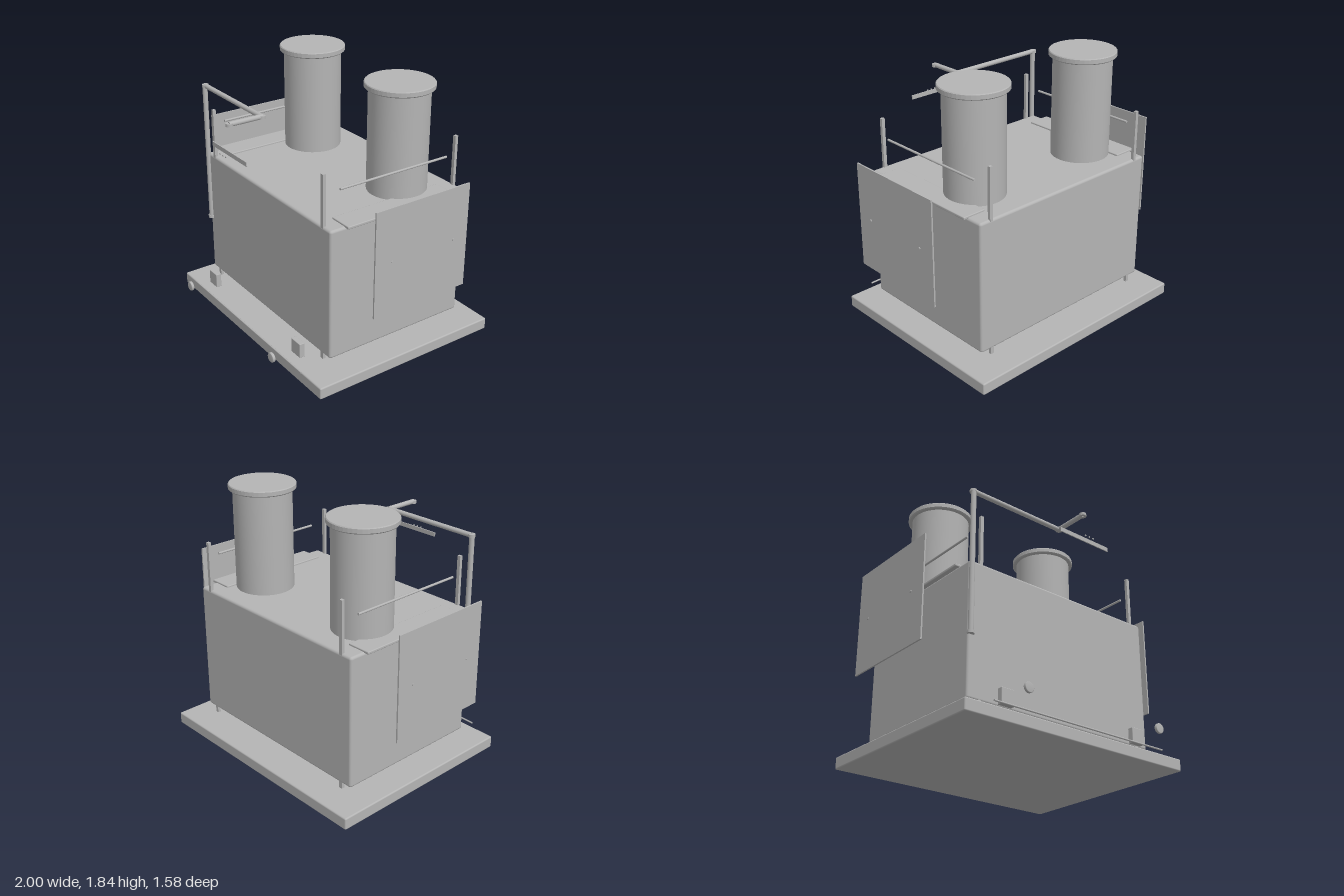
import * as THREE from 'three';
import { RoundedBoxGeometry } from 'three/addons/geometries/RoundedBoxGeometry.js';

export function createModel() {
  const model = new THREE.Group();
  const grey = new THREE.MeshStandardMaterial({ color: 0xb4b4b4 });
  grey.name = 'plain grey';

  const add = (name, geometry, x, y, z) => {
    const mesh = new THREE.Mesh(geometry, grey);
    mesh.name = name;
    mesh.position.set(x, y, z);
    model.add(mesh);
    return mesh;
  };
  // box given by its limits on each axis, rounded when r > 0
  const box = (name, [x0, x1], [y0, y1], [z0, z1], r = 0) => {
    const size = [x1 - x0, y1 - y0, z1 - z0];
    const geometry = r ? new RoundedBoxGeometry(...size, 3, r) : new THREE.BoxGeometry(...size);
    return add(name, geometry, (x0 + x1) / 2, (y0 + y1) / 2, (z0 + z1) / 2);
  };
  // cylinder along one axis, centred on the given point
  const rod = (name, axis, r, length, x, y, z, sides = 20) => {
    const geometry = new THREE.CylinderGeometry(r, r, length, sides);
    if (axis === 'x') geometry.rotateZ(Math.PI / 2);
    if (axis === 'z') geometry.rotateX(Math.PI / 2);
    return add(name, geometry, x, y, z);
  };
  // limits mirrored to the chosen side
  const side = (s, a, b) => (s > 0 ? [a, b] : [-b, -a]);

  // base and main housing
  box('base', [-0.895, 0.895], [0, 0.085], [-0.79, 0.637], 0.01);
  box('housing', [-0.757, 0.757], [0.16, 1.09], [-0.618, 0.466], 0.018);

  // lid profile with softened rims
  const lidProfile = [[0, 0], [0.224, 0], [0.231, 0.007], [0.231, 0.035], [0.226, 0.041], [0, 0.041]]
    .map(([r, y]) => new THREE.Vector2(r, y));

  for (const s of [1, -1]) {
    // tall drums with lids
    rod('drum', 'y', 0.203, 0.74, s * 0.487, 1.43, -0.265, 48);
    const lid = new THREE.LatheGeometry(lidProfile, 48).toNonIndexed();
    lid.computeVertexNormals();
    add('drumLid', lid, s * 0.487, 1.794, -0.265);

    // corner posts, through the housing
    for (const z of [-0.606, 0.454]) {
      box('cornerPost', side(s, 0.652, 0.676), [0.12, 1.44], [z - 0.011, z + 0.011]);
    }

    // side ledge and handrail
    box('sideLedge', side(s, 0.615, 0.785), [1.082, 1.102], [-0.502, 0.352], 0.006);
    rod('handrail', 'z', 0.008, 0.855, s * 0.697, 1.325, -0.075, 12);

    // side panel with two rivets
    box('sidePanel', side(s, 0.979, 0.99), [0.53, 1.265], [-0.445, 0.3]);
    for (const z of [-0.325, 0.175]) rod('rivet', 'x', 0.008, 0.006, s * 0.997, 0.9, z, 12);

    // front bracket and knob
    box('frontBracket', side(s, 0.495, 0.596), [0.13, 0.235], [0.552, 0.592], 0.004);
    const knob = new THREE.LatheGeometry(
      [[0, -0.011], [0.03, -0.011], [0.034, -0.007], [0.034, 0.007], [0.03, 0.011], [0, 0.011]]
        .map(([r, y]) => new THREE.Vector2(r, y)), 24);
    knob.rotateX(Math.PI / 2);
    add('frontKnob', knob, s * 0.545, 0.183, 0.776);
  }

  // low front rail
  rod('frontRail', 'x', 0.006, 1.4, 0, 0.104, 0.652, 12);

  // overhead pipe: riser, crossbar and forward arm
  rod('pipeRiser', 'y', 0.018, 1.02, -0.742, 1.09, 0.47);
  rod('pipeCrossbar', 'x', 0.017, 0.742, -0.371, 1.598, 0.466);
  rod('pipeArm', 'z', 0.017, 0.245, 0, 1.6, 0.586);
  const collars = [[-0.742, 0.587, 0.47], [-0.742, 1.598, 0.466], [0, 1.598, 0.466], [0, 1.598, 0.706]];
  for (const [x, y, z] of collars) rod('pipeCollar', 'y', 0.024, 0.02, x, y, z);

  // hanging control bar and its buttons
  box('controlBar', [-0.212, 0.212], [1.388, 1.418], [0.711, 0.718]);
  for (const x of [-0.034, 0, 0.034]) rod('button', 'z', 0.006, 0.005, x, 1.402, 0.761, 12);

  return model;
}
